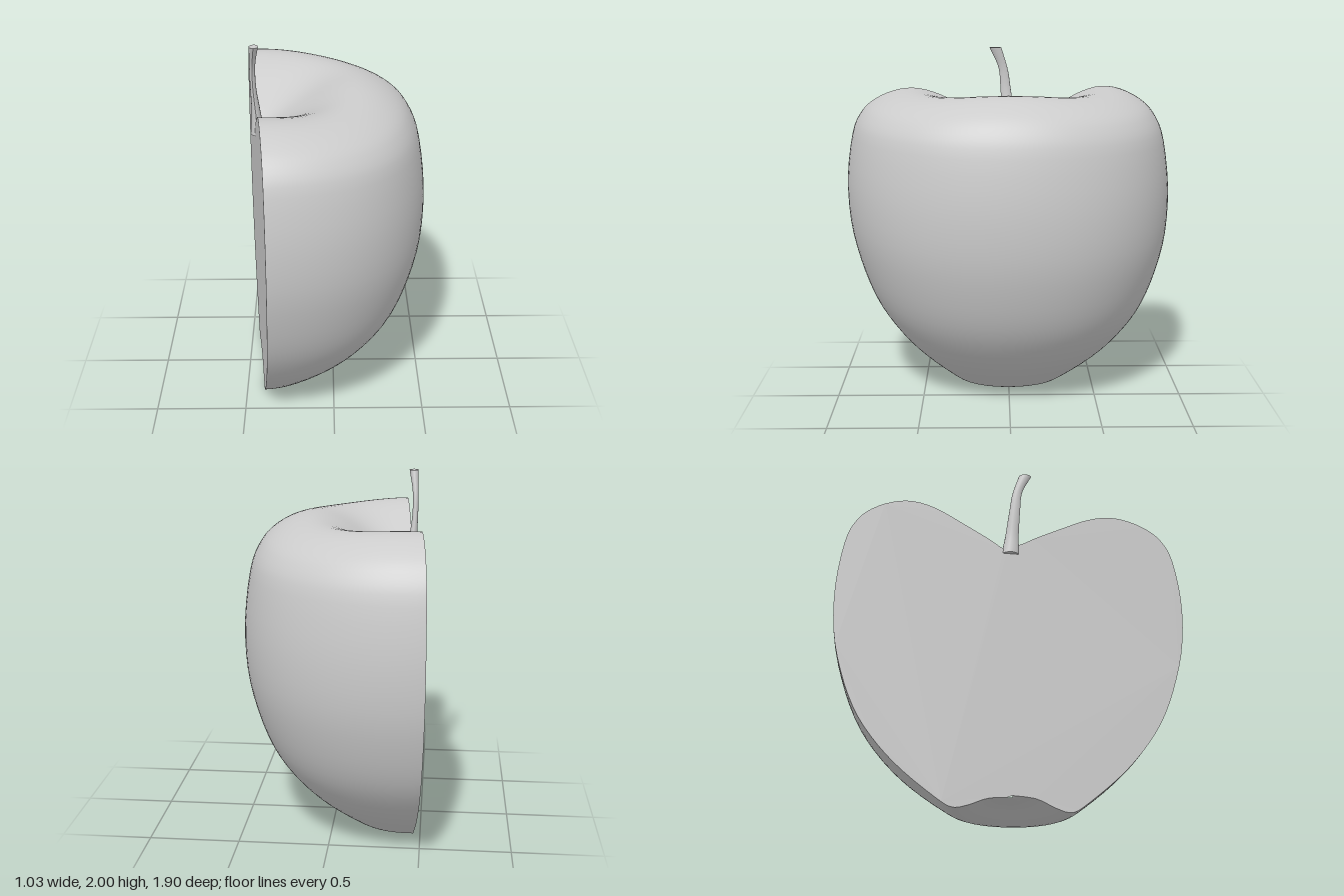
import * as THREE from 'three';

const CENTRE_X = -0.43;
const A0 = THREE.MathUtils.degToRad(-95.4), A1 = THREE.MathUtils.degToRad(84.6);
const RINGS = 64, STEPS = 56;

// Half-apple profile as (radius, height), from the base hollow over the shoulder to the stem hollow
const profile = new THREE.SplineCurve([
  [0, 0.07], [0.12, 0.06], [0.22, 0.02], [0.3, 0.005], [0.38, 0.05], [0.55, 0.185],
  [0.68, 0.32], [0.79, 0.48], [0.87, 0.68], [0.925, 0.92], [0.935, 1.2], [0.9, 1.48],
  [0.85, 1.61], [0.78, 1.69], [0.67, 1.75], [0.55, 1.77], [0.42, 1.735], [0.27, 1.65],
  [0.13, 1.565], [0.05, 1.51], [0, 1.5],
].map(([r, y]) => new THREE.Vector2(r, y))).getPoints(RINGS);

// Skin radius and height at an angle: fuller on the diagonals, wavy shoulder, raised belly in front
function skinPoint(p, a) {
  const s = Math.sin(a), belly = Math.sin(Math.PI * THREE.MathUtils.clamp(p.y / 1.77, 0, 1));
  const r = Math.max(0, p.x) * (1 + 0.018 * s * s + 0.032 * Math.sin(2 * a) ** 2);
  const shoulder = THREE.MathUtils.smoothstep(p.y, 1.45, 1.75) * Math.min(1, p.x / 0.4);
  const y = p.y + 0.08 * Math.max(0, s) ** 2 * belly
    - 0.02 * shoulder * Math.sin(2 * a) ** 2;
  return { r, y };
}

function skinGeometry() {
  const pos = [], index = [], n = RINGS + 1;
  for (let i = 0; i <= STEPS; i++) {
    const a = A0 + (A1 - A0) * i / STEPS;
    for (const p of profile) {
      const { r, y } = skinPoint(p, a);
      pos.push(CENTRE_X + r * Math.cos(a), y, r * Math.sin(a));
    }
  }
  for (let i = 0; i < STEPS; i++) {
    for (let j = 0; j < RINGS; j++) {
      const k = i * n + j;
      index.push(k, k + 1, k + n, k + 1, k + n + 1, k + n);
    }
  }
  const g = new THREE.BufferGeometry();
  g.setAttribute('position', new THREE.Float32BufferAttribute(pos, 3));
  g.setIndex(index);
  g.computeVertexNormals();
  return g;
}

// Flat cut through the core, bounded by the two ends of the skin
function cutGeometry() {
  const front = profile.map(p => skinPoint(p, A1)).map(q => new THREE.Vector2(q.r, q.y));
  const back = profile.slice(1, -1).map(p => skinPoint(p, A0)).map(q => new THREE.Vector2(-q.r, q.y));
  const g = new THREE.ShapeGeometry(new THREE.Shape([...front, ...back.reverse()]));
  return g.rotateY(-A1).translate(CENTRE_X, 0, 0);
}

// Stem: a cylinder whose rings follow a bent path with changing width
function stemGeometry() {
  const path = new THREE.CatmullRomCurve3([
    [-0.415, 1.48, -0.01], [-0.42, 1.6, 0], [-0.432, 1.76, 0.015], [-0.432, 1.88, 0.03], [-0.42, 2, 0.075],
  ].map(p => new THREE.Vector3(...p)));
  const widths = new THREE.CatmullRomCurve3([
    [0.04, 0.05, 0], [0.025, 0.037, 0], [0.016, 0.03, 0], [0.016, 0.026, 0], [0.025, 0.035, 0],
  ].map(p => new THREE.Vector3(...p)));
  const g = new THREE.CylinderGeometry(1, 1, 1, 14, 16);
  const pos = g.attributes.position;
  for (let i = 0; i < pos.count; i++) {
    const t = THREE.MathUtils.clamp(pos.getY(i) + 0.5, 0, 1);
    const c = path.getPoint(t), w = widths.getPoint(t);
    pos.setXYZ(i, c.x + pos.getX(i) * w.x, c.y, c.z + pos.getZ(i) * w.y);
  }
  g.computeVertexNormals();
  return g;
}

export function createModel() {
  const group = new THREE.Group();
  group.name = 'halfApple';
  const material = new THREE.MeshStandardMaterial({ color: 0xcccccc });
  const add = (name, geometry) => {
    const mesh = new THREE.Mesh(geometry, material);
    mesh.name = name;
    group.add(mesh);
  };
  add('skin', skinGeometry());
  add('cutFace', cutGeometry());
  add('stem', stemGeometry());
  return group;
}
